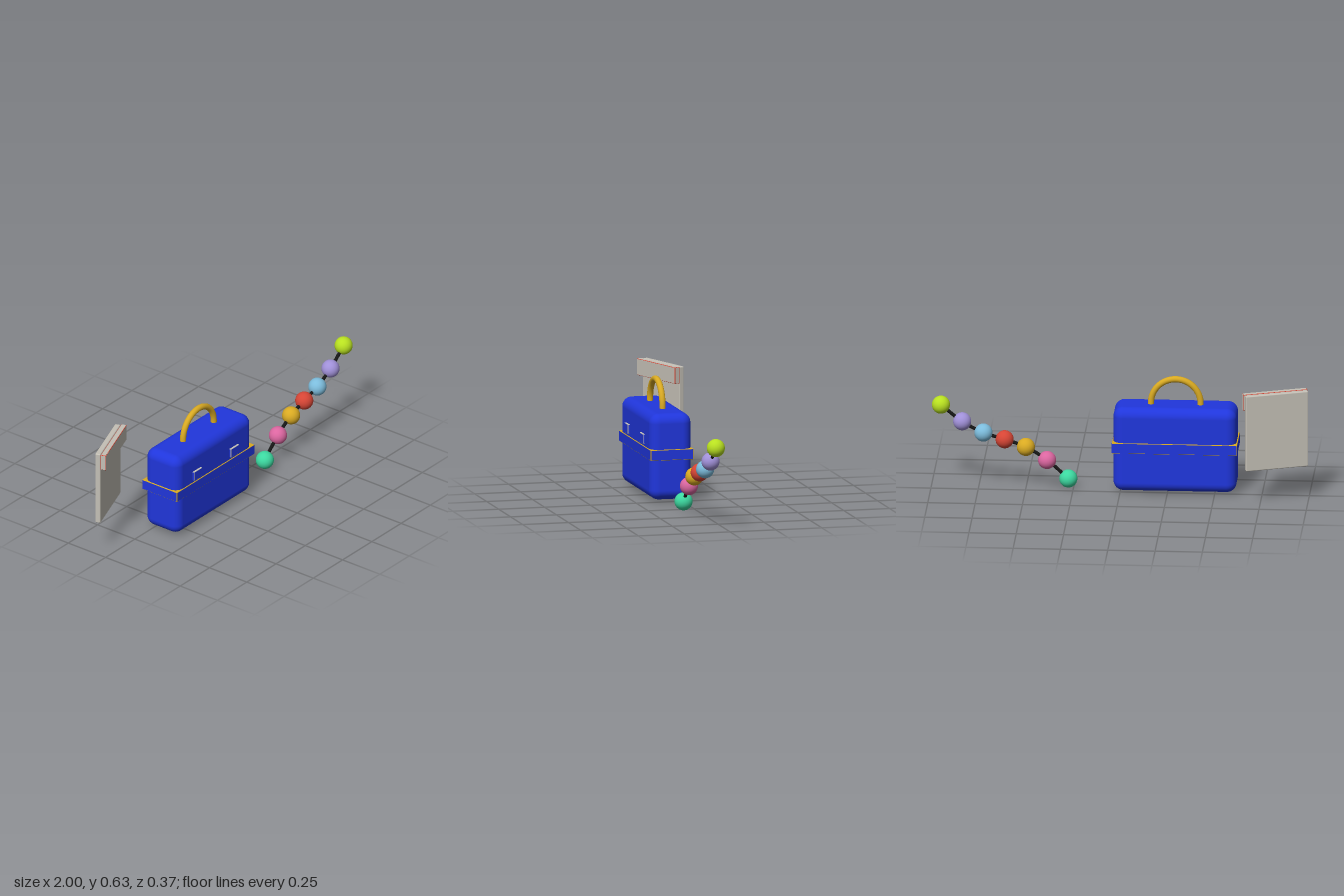
import * as THREE from 'three';
import { RoundedBoxGeometry } from 'three/addons/geometries/RoundedBoxGeometry.js';

function material(name, color) {
  const m = new THREE.MeshStandardMaterial({ color });
  m.name = name;
  return m;
}

export function createModel() {
  const blue = material('blue', 0x2036dc);
  const gold = material('gold', 0xd9aa22);
  const grey = material('warm grey', 0xc4c0b6);
  const red = material('red', 0xd64535);
  const pink = material('pink', 0xdb66a0);
  const purple = material('lavender', 0xa090d8);
  const sky = material('sky blue', 0x7cbcdc);
  const mint = material('mint', 0x3cd8a0);
  const lime = material('lime', 0xb8e020);
  const black = material('black', 0x161616);

  const model = new THREE.Group();

  function add(parent, name, geometry, mat, x = 0, y = 0, z = 0) {
    const mesh = new THREE.Mesh(geometry, mat);
    mesh.name = name;
    mesh.position.set(x, y, z);
    parent.add(mesh);
    return mesh;
  }

  // Rounded box whose faces carry thin panels, leaving its edges as piping
  function pipedBox(name, w, h, d, edge, edgeMat, panelMat, withTop) {
    const group = new THREE.Group();
    group.name = name;
    add(group, name + 'Piping', new RoundedBoxGeometry(w, h, d, 3, edge), edgeMat);
    const t = 0.001, e = edge * 2;
    add(group, name + 'FrontBackPanel', new THREE.BoxGeometry(w - e, h - e, d + t), panelMat);
    add(group, name + 'SidePanel', new THREE.BoxGeometry(w + t, h - e, d - e), panelMat);
    if (withTop) add(group, name + 'TopPanel', new THREE.BoxGeometry(w - e, h + t, d - e), panelMat);
    return group;
  }

  // Case
  const caseGroup = new THREE.Group();
  caseGroup.name = 'case';
  caseGroup.position.set(-0.29, 0, 0.065);
  model.add(caseGroup);
  add(caseGroup, 'caseBody', new RoundedBoxGeometry(0.65, 0.46, 0.225, 6, 0.052), blue, 0, 0.244, 0);

  const band = pipedBox('band', 0.662, 0.057, 0.233, 0.0027, gold, blue, false);
  band.position.y = 0.258;
  caseGroup.add(band);

  for (const side of [-1, 1]) {
    const clasp = pipedBox('clasp', 0.07, 0.05, 0.022, 0.0024, grey, blue, false);
    clasp.position.set(side * 0.1575, 0.326, 0.112);
    caseGroup.add(clasp);
  }

  // Arched handle, its ends sunk into the lid
  const handleCurve = new THREE.CurvePath();
  const arc = [];
  for (let i = 0; i <= 16; i++) {
    const a = Math.PI * (1 - i / 16);
    arc.push(new THREE.Vector3(Math.cos(a) * 0.131, 0.48 + Math.sin(a) * 0.131, 0));
  }
  handleCurve.add(new THREE.LineCurve3(new THREE.Vector3(-0.131, 0.455, 0), arc[0]));
  handleCurve.add(new THREE.CatmullRomCurve3(arc));
  handleCurve.add(new THREE.LineCurve3(arc[16], new THREE.Vector3(0.131, 0.455, 0)));
  // A plain curve over the same points gives the tube smooth frames
  const handlePath = new THREE.CatmullRomCurve3(
    [new THREE.Vector3(-0.131, 0.455, 0), ...arc, new THREE.Vector3(0.131, 0.455, 0)]);
  add(caseGroup, 'handle', new THREE.TubeGeometry(handlePath, 48, 0.0165, 16), gold);

  // Flat pouch, turned about the vertical, with a piped flap on its front
  const turn = THREE.MathUtils.degToRad(20);
  const pouch = new THREE.Group();
  pouch.name = 'pouch';
  pouch.position.set(-0.834, 0, -0.1155);
  pouch.rotation.y = turn;
  model.add(pouch);
  add(pouch, 'pouchBody', new RoundedBoxGeometry(0.342, 0.416, 0.03, 3, 0.006), grey, 0, 0.395, 0);
  const flap = pipedBox('flap', 0.352, 0.088, 0.03, 0.0025, red, grey, true);
  flap.position.set(0, 0.559, 0.0325);
  pouch.add(flap);

  // String of beads
  const beads = new THREE.Group();
  beads.name = 'beadString';
  model.add(beads);
  const heights = [0.049, 0.149, 0.219, 0.259, 0.294, 0.354, 0.444];
  const beadMats = [mint, pink, gold, red, sky, purple, lime];
  const beadGeometry = new THREE.SphereGeometry(0.048, 32, 20);
  const points = heights.map((y, i) => new THREE.Vector3(0.278 + i * 0.1122, y, 0.065));
  points.forEach((p, i) => add(beads, 'bead', beadGeometry, beadMats[i], p.x, p.y, p.z));
  add(beads, 'string', new THREE.TubeGeometry(new THREE.CatmullRomCurve3(points), 60, 0.009, 10), black);

  return model;
}
